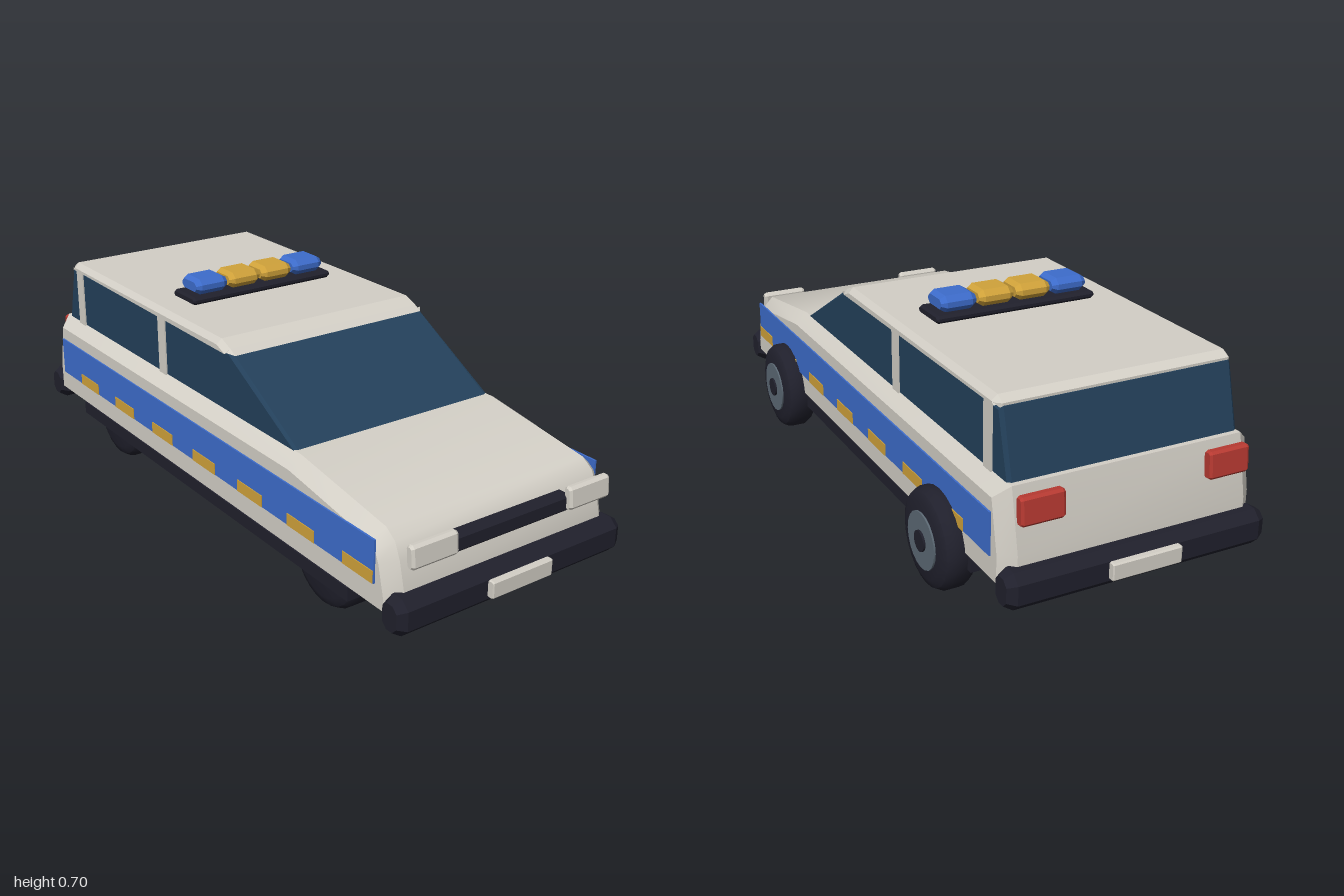
import * as THREE from 'three';
import { toCreasedNormals } from 'three/addons/utils/BufferGeometryUtils.js';

const CX = -0.028; // centre line of the body shell

const mat = (name, color) => {
  const m = new THREE.MeshStandardMaterial({ color });
  m.name = name;
  return m;
};

// Side profile given as [z, y], extruded across x with chamfered ends
function sideExtrude(points, width, chamfer, inset = chamfer) {
  const shape = new THREE.Shape(points.map(([z, y]) => new THREE.Vector2(-z, y)));
  const g = new THREE.ExtrudeGeometry(shape, {
    depth: width - 2 * chamfer, bevelEnabled: chamfer > 0, bevelSegments: 1,
    bevelThickness: chamfer, bevelSize: inset, bevelOffset: -inset,
  });
  g.translate(0, 0, chamfer - width / 2);
  g.rotateY(Math.PI / 2);
  return g;
}

// Box with every edge chamfered
function chamferBox(w, h, d, c) {
  const a = d / 2, b = h / 2;
  return sideExtrude([[a, -b + c], [a, b - c], [a - c, b], [-a + c, b],
    [-a, b - c], [-a, -b + c], [-a + c, -b], [a - c, -b]], w, c, c * 0.6);
}

export function createModel() {
  const car = new THREE.Group();
  car.name = 'patrolCar';
  const paint = mat('off white paint', 0xd3cfc6);
  const glass = mat('dark blue glass', 0x23405a);
  const trim = mat('black trim', 0x20202c);
  const blue = mat('blue', 0x3d6ccb);
  const yellow = mat('amber', 0xd0a23a);
  const metal = mat('wheel grey', 0x5c6974);
  const red = mat('red lamp', 0xb83a32);

  const add = (name, geo, material, x = 0, y = 0, z = 0, parent = car) => {
    const m = new THREE.Mesh(geo, material);
    m.name = name;
    m.position.set(x, y, z);
    parent.add(m);
    return m;
  };

  // Lower body with bonnet, chamfered along its sides
  const body = sideExtrude([[0.935, 0.13], [0.94, 0.2], [0.915, 0.3], [0.895, 0.345],
    [0.86, 0.37], [0.5, 0.425], [-0.9, 0.425], [-0.935, 0.25], [-0.935, 0.13]], 0.765, 0.04, 0.035);
  add('body', toCreasedNormals(body, 0.6), paint, CX);

  // Glass cabin, roof and side pillars
  add('windows', sideExtrude([[0.49, 0.415], [0.15, 0.608], [-0.838, 0.608], [-0.887, 0.415]],
    0.688, 0.01), glass, CX);
  add('roof', sideExtrude([[0.17, 0.598], [0.145, 0.612], [0.1, 0.63], [-0.81, 0.63],
    [-0.835, 0.615], [-0.835, 0.598]], 0.702, 0.016), paint, CX);
  for (const s of [-1, 1]) {
    for (const z of [-0.23, -0.782]) {
      add('pillar', new THREE.BoxGeometry(0.02, 0.19, 0.043), paint, CX + s * 0.338, 0.512, z);
    }
  }

  // Underfloor
  add('floor', new THREE.BoxGeometry(0.75, 0.04, 1.5), trim, CX, 0.133, 0);

  // Side stripes with a row of amber dashes
  for (const s of [-1, 1]) {
    add('sideStripe', new THREE.BoxGeometry(0.006, 0.122, 1.74), blue, CX + s * 0.3845, 0.29, 0);
    for (let i = 0; i < 7; i++) {
      add('stripeDash', new THREE.BoxGeometry(0.008, 0.035, 0.123), yellow,
        CX + s * 0.386, 0.247, 0.806 - i * 0.246);
    }
  }

  // Bumpers and blank plates at both ends
  for (const s of [-1, 1]) {
    add(s > 0 ? 'frontBumper' : 'rearBumper', chamferBox(0.78, 0.105, 0.085, 0.025), trim, CX, 0.168, s * 0.938);
    add('blankPlate', chamferBox(0.21, 0.05, 0.022, 0.004), paint, CX, 0.172, s * 0.989);
  }

  // Grille bar, headlights and tail lights
  add('grille', chamferBox(0.42, 0.05, 0.045, 0.008), trim, CX, 0.308, 0.926);
  for (const s of [-1, 1]) {
    const lamp = add('headlight', chamferBox(0.15, 0.066, 0.026, 0.008), paint, CX + s * 0.268, 0.324, 0.95);
    lamp.rotation.x = -0.1;
    const tail = add('tailLight', chamferBox(0.125, 0.078, 0.03, 0.007), red, CX + s * 0.278, 0.37, -0.932);
    tail.rotation.x = 0.08;
  }

  // Roof light bar
  const bar = new THREE.Group();
  bar.name = 'lightBar';
  bar.position.set(CX, 0, -0.25);
  car.add(bar);
  add('lightBarBase', chamferBox(0.508, 0.024, 0.124, 0.008), trim, 0, 0.641, 0, bar);
  [blue, yellow, yellow, blue].forEach((m, i) => {
    add('beacon', chamferBox(0.11, 0.048, 0.102, 0.016), m, (i - 1.5) * 0.1185, 0.677, 0, bar);
  });

  // Wheels, all with the hub on the +x side
  const tyre = toCreasedNormals(new THREE.LatheGeometry([[0, -0.05], [0.108, -0.05], [0.132, -0.041],
    [0.143, -0.022], [0.143, 0.022], [0.132, 0.041], [0.108, 0.05], [0, 0.05]]
    .map(([r, y]) => new THREE.Vector2(r, y)), 24).rotateZ(-Math.PI / 2), 0.7);
  const disc = (r, h) => new THREE.CylinderGeometry(r, r, h, 20).rotateZ(-Math.PI / 2);
  for (const x of [-0.316, 0.36]) {
    for (const z of [0.585, -0.592]) {
      const wheel = new THREE.Group();
      wheel.name = (z > 0 ? 'front' : 'rear') + (x > 0 ? 'Left' : 'Right') + 'Wheel';
      wheel.position.set(x, 0.145, z);
      car.add(wheel);
      add('tyre', tyre, trim, 0, 0, 0, wheel);
      add('rim', disc(0.082, 0.02), metal, 0.045, 0, 0, wheel);
      add('hub', disc(0.03, 0.02), trim, 0.051, 0, 0, wheel);
    }
  }
  return car;
}
